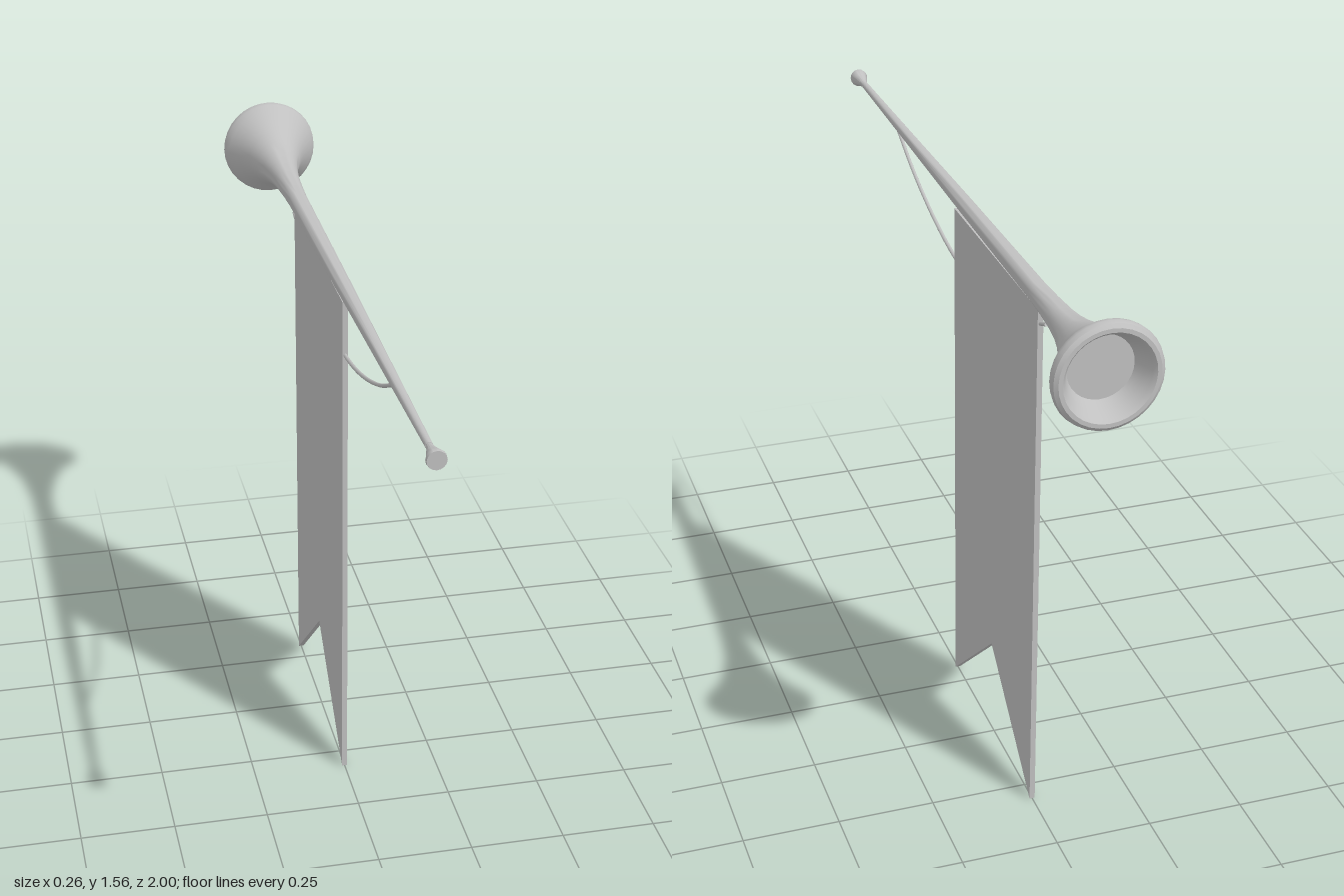
import * as THREE from 'three';
import { toCreasedNormals } from 'three/addons/utils/BufferGeometryUtils.js';

const AXIS_Y = 1.43;

export function createModel() {
  const group = new THREE.Group();
  group.name = 'heraldTrumpet';
  const silver = new THREE.MeshStandardMaterial({ color: 0xc0c0c0 });
  silver.name = 'silver grey';

  const add = (name, geometry) => {
    const mesh = new THREE.Mesh(geometry, silver);
    mesh.name = name;
    group.add(mesh);
    return mesh;
  };

  // Turned parts: profile of [radius, z], from the bell end to the mouth end
  const turned = (name, profile, segments) => {
    const points = profile.map(([r, z]) => new THREE.Vector2(r, z));
    const geometry = new THREE.LatheGeometry(points, segments).rotateX(Math.PI / 2);
    add(name, toCreasedNormals(geometry, 0.6)).position.y = AXIS_Y;
  };

  // Flared bell with a rolled rim and recessed throat, tapering into the tube
  turned('bellAndTube', [
    [0, -0.94], [0.078, -0.94], [0.09, -0.965], [0.1, -0.99], [0.108, -1],
    [0.118, -1], [0.127, -0.993], [0.13, -0.982], [0.128, -0.97], [0.118, -0.955],
    [0.095, -0.92], [0.076, -0.88], [0.062, -0.84], [0.05, -0.8], [0.04, -0.75],
    [0.034, -0.7], [0.029, -0.62], [0.026, -0.54], [0.021, 0], [0.015, 0.45],
    [0.009, 0.93], [0, 0.93],
  ], 32);

  // Conical mouthpiece
  turned('mouthpiece', [
    [0, 0.92], [0.008, 0.925], [0.01, 0.945], [0.018, 0.975], [0.024, 0.992], [0.023, 1], [0, 1],
  ], 16);

  // Swallow-tailed banner hanging along the tube; shape x becomes -z
  const outline = new THREE.Shape([
    [-0.07, 1.395], [-0.07, 0], [0.245, 0.28], [0.56, 0], [0.56, 1.395],
  ].map(([x, y]) => new THREE.Vector2(x, y)));
  const banner = new THREE.ExtrudeGeometry(outline, { depth: 0.014, bevelEnabled: false });
  add('banner', banner.translate(0, 0, -0.007).rotateY(Math.PI / 2));

  // Slack cord from the tube, through the banner, to a free end behind it
  const path = new THREE.CatmullRomCurve3([
    [0.6, 1.418], [0.45, 1.347], [0.25, 1.282], [0.07, 1.25],
    [-0.15, 1.245], [-0.38, 1.285], [-0.55, 1.355], [-0.6, 1.375],
  ].map(([z, y]) => new THREE.Vector3(0, y, z)));
  add('cord', new THREE.TubeGeometry(path, 40, 0.005, 8));
  for (const [end, t, turn] of [['Front', 0, Math.PI], ['Rear', 1, 0]]) {
    const cap = add('cord' + end + 'Cap', new THREE.CircleGeometry(0.005, 8));
    const p = path.getPoint(t);
    const outward = path.getTangent(t).multiplyScalar(turn ? -1 : 1);
    cap.position.copy(p);
    cap.lookAt(p.clone().add(outward));
  }

  return group;
}
